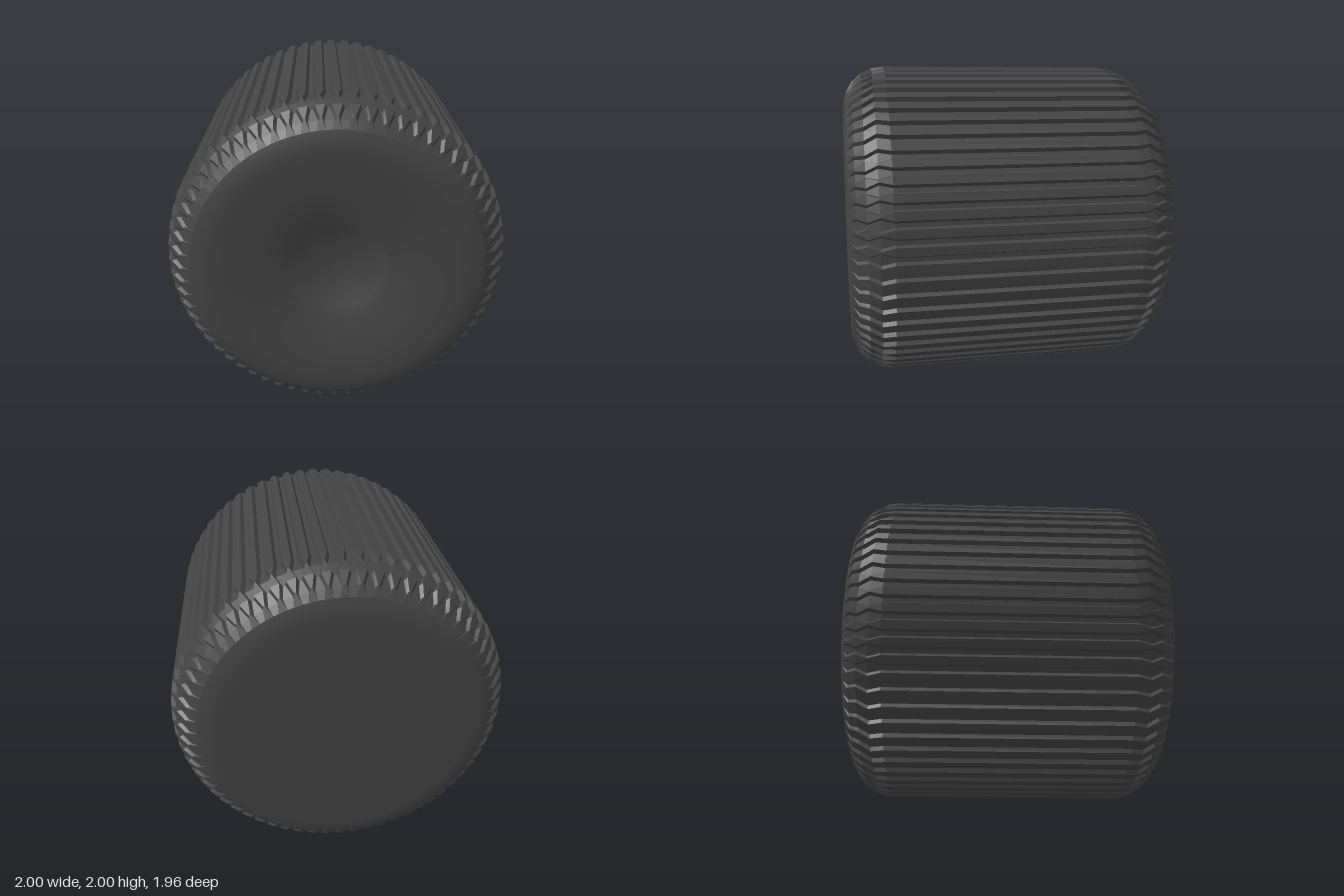
import * as THREE from 'three';

const RIBS = 64, R = 0.26, RC = 0.74, ZC = 0.72;
const arc = (deg) => {
  const a = THREE.MathUtils.degToRad(deg);
  return [RC + R * Math.cos(a), ZC + R * Math.sin(a)];
};

// Ribbed barrel: rings of ridge and groove points, joined along z
function ribbedGeometry() {
  // bevel angle, share of the pitch taken by the ridge, groove depth
  const half = [[0, 0.5, 0.025], [17, 0.1, 0.025], [34, 0.6, 0.025], [51, 0.12, 0.02], [67, 0.5, 0]];
  const stations = half.map(([deg, w, d]) => ({ r: arc(deg)[0], z: arc(deg)[1], w, d }));
  const all = [...stations].reverse().map((s) => ({ ...s, z: -s.z })).concat(stations);
  const n = RIBS * 4, pos = [], idx = [];
  for (const { r, z, w, d } of all) {
    for (let i = 0; i < RIBS; i++) {
      const ridge = w / 2, groove = Math.min(w / 2 + 0.12, 0.45);
      for (const [o, rad] of [[-groove, r - d], [-ridge, r], [ridge, r], [groove, r - d]]) {
        const a = ((i + o) / RIBS) * Math.PI * 2;
        pos.push(rad * Math.cos(a), rad * Math.sin(a), z);
      }
    }
  }
  for (let j = 0; j < all.length - 1; j++) {
    for (let i = 0; i < n; i++) {
      const a = j * n + i, b = j * n + ((i + 1) % n);
      idx.push(a, b, b + n, a, b + n, a + n);
    }
  }
  const g = new THREE.BufferGeometry();
  g.setAttribute('position', new THREE.Float32BufferAttribute(pos, 3));
  g.setIndex(idx);
  g.computeVertexNormals();
  return g;
}

// Smooth turned part about the z axis
function turned(points) {
  const g = new THREE.LatheGeometry(points.map(([r, z]) => new THREE.Vector2(r, z)), 128);
  return g.rotateX(Math.PI / 2);
}

export function createModel() {
  const model = new THREE.Group();
  model.name = 'ribbedKnob';
  const color = 0x444444;
  const add = (name, geometry, flatShading) => {
    const material = new THREE.MeshStandardMaterial({ color, flatShading, side: THREE.DoubleSide });
    const mesh = new THREE.Mesh(geometry, material);
    mesh.name = name;
    mesh.position.y = 1;
    model.add(mesh);
  };

  add('ribbedBarrel', ribbedGeometry(), true);

  // Front face with a shallow round recess, softly shaded across its edge
  const edge = [arc(67), arc(78), arc(90)];
  add('frontFace', turned([...edge, [0.302, 0.98], [0.302, 0.86], [0, 0.86]]), false);

  // Plain back face
  const back = [[0, -0.98], [0.6, -0.98], ...[...edge].reverse().map(([r, z]) => [r, -z])];
  add('backFace', turned(back), false);

  return model;
}
